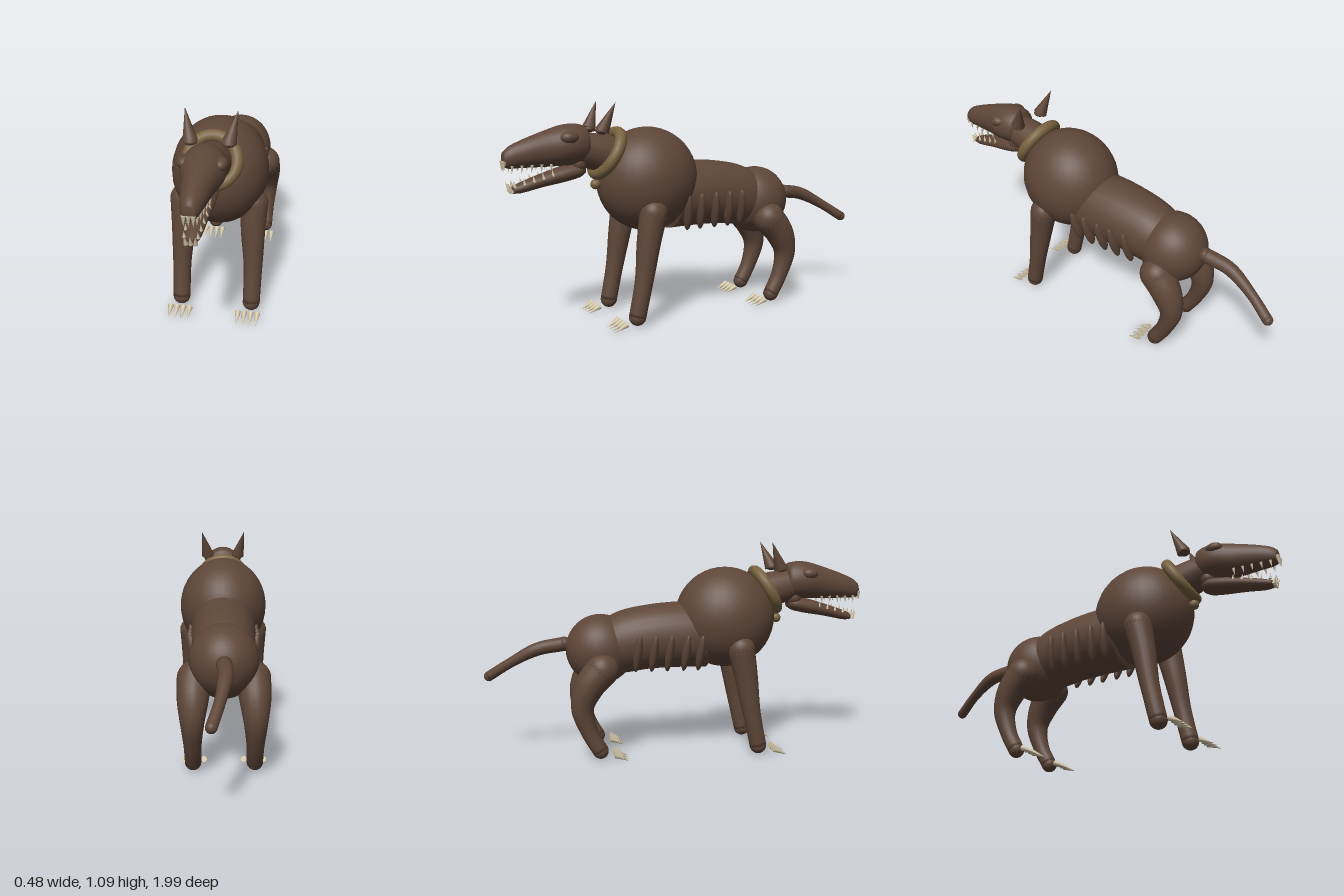
import * as THREE from 'three';

const mat = (name, color, side = THREE.FrontSide) => {
  const m = new THREE.MeshStandardMaterial({ color, side });
  m.name = name;
  return m;
};
const V = (x, y, z) => new THREE.Vector3(x, y, z);

// Skin a series of rings (arrays of points) and close both ends
function skin(rings) {
  const n = rings[0].length, pos = [], idx = [];
  const mid = r => r.reduce((s, p) => s.add(p), V(0, 0, 0)).divideScalar(n);
  rings.flat().forEach(p => pos.push(p.x, p.y, p.z));
  const last = rings.length - 1;
  [mid(rings[0]), mid(rings[last])].forEach(p => pos.push(p.x, p.y, p.z));
  const start = rings.length * n;
  for (let j = 0; j < n; j++) {
    const k = (j + 1) % n;
    for (let i = 0; i < last; i++) {
      const a = i * n + j, b = i * n + k;
      idx.push(a, b, a + n, b, b + n, a + n);
    }
    idx.push(start, k, j, start + 1, last * n + j, last * n + k);
  }
  const g = new THREE.BufferGeometry();
  g.setAttribute('position', new THREE.Float32BufferAttribute(pos, 3));
  g.setIndex(idx);
  g.computeVertexNormals();
  return g;
}

// Elliptical sections [z, y, rx, ry] smoothed along z
function sections(list, steps = 28, sides = 28) {
  const c1 = new THREE.CatmullRomCurve3(list.map(s => V(s[0], s[1], 0)));
  const c2 = new THREE.CatmullRomCurve3(list.map(s => V(s[0], s[2], s[3])));
  const rings = [];
  for (let i = 0; i <= steps; i++) {
    const c = c1.getPoint(i / steps), r = c2.getPoint(i / steps);
    rings.push(Array.from({ length: sides }, (_, j) => {
      const a = j / sides * Math.PI * 2;
      return V(r.y * Math.cos(a), c.y + r.z * Math.sin(a), c.x);
    }));
  }
  return skin(rings);
}

// Tapered tube through [x, y, z, radius] points
function taper(list, steps = 24, sides = 20) {
  const path = new THREE.CatmullRomCurve3(list.map(p => V(p[0], p[1], p[2])));
  const rad = new THREE.CatmullRomCurve3(list.map((p, i) => V(i, p[3], 0)));
  const f = path.computeFrenetFrames(steps, false);
  const rings = [];
  for (let i = 0; i <= steps; i++) {
    const c = path.getPointAt(i / steps), r = rad.getPointAt(i / steps).y;
    rings.push(Array.from({ length: sides }, (_, j) => {
      const a = j / sides * Math.PI * 2;
      return c.clone().addScaledVector(f.normals[i], r * Math.cos(a))
        .addScaledVector(f.binormals[i], r * Math.sin(a));
    }));
  }
  return skin(rings);
}

export function createModel() {
  const root = new THREE.Group();
  root.name = 'hound';
  const fur = mat('brown fur', 0x5e4638);
  const leather = mat('tan leather', 0x78623f);
  const bone = mat('bone', 0xcfc3a6);

  const add = (name, geo, material, parent = root) => {
    const m = new THREE.Mesh(geo, material);
    m.name = name;
    parent.add(m);
    return m;
  };
  const ball = (name, p, r, material = fur, parent = root) => {
    const m = add(name, new THREE.SphereGeometry(1, 32, 22), material, parent);
    m.position.set(...p);
    m.scale.set(...(Array.isArray(r) ? r : [r, r, r]));
    return m;
  };
  const spike = (name, base, tip, r, material = bone, parent = root, sides = 10) => {
    const a = V(...base), b = V(...tip), d = b.clone().sub(a);
    const m = add(name, new THREE.ConeGeometry(r, d.length(), sides), material, parent);
    m.position.copy(a).lerp(b, 0.5);
    m.quaternion.setFromUnitVectors(V(0, 1, 0), d.normalize());
    return m;
  };
  // Limb with rounded ends
  const limb = (name, pts) => {
    const g = new THREE.Group();
    g.name = name;
    root.add(g);
    add(name + 'Shaft', taper(pts), fur, g);
    [pts[0], pts[pts.length - 1]].forEach(p => ball(name + 'End', p.slice(0, 3), p[3], fur, g));
    return g;
  };

  // Trunk
  ball('chest', [0, 0.71, 0.255], [0.235, 0.262, 0.262]);
  add('belly', sections([[-0.42, 0.56, 0.12, 0.13], [-0.3, 0.588, 0.15, 0.162],
    [-0.15, 0.613, 0.163, 0.168], [0, 0.622, 0.168, 0.172], [0.15, 0.62, 0.165, 0.172]]), fur);
  ball('pelvis', [0, 0.555, -0.4], [0.17, 0.18, 0.178]);
  limb('tail', [[0, 0.585, -0.585, 0.037], [-0.005, 0.562, -0.72, 0.034],
    [0.02, 0.49, -0.86, 0.026], [0.055, 0.417, -0.972, 0.026]]);

  // Neck, collar and its bell
  limb('neck', [[0, 0.82, 0.4, 0.1], [0, 0.85, 0.5, 0.092], [0, 0.88, 0.62, 0.08]]);
  const collar = add('collar', new THREE.TorusGeometry(0.115, 0.029, 16, 40), leather);
  collar.position.set(0, 0.85, 0.472);
  collar.rotation.x = -0.53;
  ball('collarBell', [0, 0.70, 0.535], 0.025, leather);

  // Head
  add('skull', sections([[0.575, 0.9, 0.05, 0.05], [0.59, 0.9, 0.085, 0.085], [0.64, 0.9, 0.1, 0.098],
    [0.7, 0.897, 0.1, 0.097], [0.78, 0.885, 0.078, 0.086], [0.9, 0.864, 0.054, 0.064],
    [0.96, 0.85, 0.039, 0.05], [0.985, 0.843, 0.026, 0.034]]), fur);
  add('lowerJaw', sections([[0.595, 0.775, 0.035, 0.02], [0.62, 0.775, 0.055, 0.035],
    [0.68, 0.765, 0.058, 0.04], [0.8, 0.738, 0.047, 0.033], [0.91, 0.708, 0.035, 0.025],
    [0.945, 0.7, 0.024, 0.017]]), fur);
  ball('jawHinge', [0, 0.81, 0.625], [0.06, 0.05, 0.045]);

  // Front teeth
  for (const x of [-0.02, 0, 0.02]) {
    spike('upperFang', [x, 0.836, 0.984], [x, 0.79, 0.988], 0.011);
    spike('lowerFang', [x, 0.69, 0.952], [x * 1.2, 0.735, 0.972], 0.01);
  }

  for (const s of [1, -1]) {
    const side = s > 0 ? 'left' : 'right';
    ball(side + 'Brow', [s * 0.078, 0.937, 0.69], [0.034, 0.03, 0.045]);

    // Ear with rounded base
    spike(side + 'Ear', [s * 0.087, 0.965, 0.53], [s * 0.12, 1.1, 0.474], 0.035, fur, root, 20);
    ball(side + 'EarBase', [s * 0.087, 0.965, 0.53], [0.033, 0.018, 0.033]);

    // Cheek teeth
    for (let i = 0; i < 5; i++) {
      const t = i / 4, z = 0.77 + 0.18 * t;
      const xu = s * (0.046 - 0.018 * t), xl = s * (0.042 - 0.013 * t);
      spike(side + 'UpperTooth', [xu, 0.815, z], [xu, 0.778, z + 0.004], 0.008);
      spike(side + 'LowerTooth', [xl, 0.755 - 0.04 * t, z - 0.01],
        [xl, 0.79 - 0.045 * t, z - 0.004], 0.008);
    }

    // Ribs
    [0.1, 0.025, -0.06, -0.14, -0.22].forEach((z, i) => {
      const rib = ball(side + 'Rib', [s * (0.148 - (i === 4 ? 0.006 : 0)), 0.545, z], [0.028, 0.1, 0.021]);
      rib.rotation.set(0.1, 0, s * -0.28);
    });

    // Legs
    limb(side + 'FrontLeg', [[s * 0.172, 0.565, 0.305, 0.07], [s * 0.173, 0.42, 0.333, 0.058],
      [s * 0.179, 0.25, 0.36, 0.046], [s * 0.178, 0.055, 0.4, 0.043]]);
    limb(side + 'HindLeg', [[s * 0.14, 0.47, -0.4, 0.085], [s * 0.147, 0.39, -0.465, 0.075],
      [s * 0.15, 0.28, -0.502, 0.056], [s * 0.15, 0.15, -0.468, 0.043], [s * 0.15, 0.053, -0.415, 0.04]]);

    // Claws
    for (const [part, cx, z] of [['Front', 0.17, 0.475], ['Hind', 0.147, -0.345]]) {
      for (let i = 0; i < 4; i++) {
        const x = s * (cx + (i - 1.5) * 0.032);
        spike(side + part + 'Claw', [x, 0.04, z], [x, 0.008, z + 0.07], 0.015);
      }
    }
  }
  return root;
}
